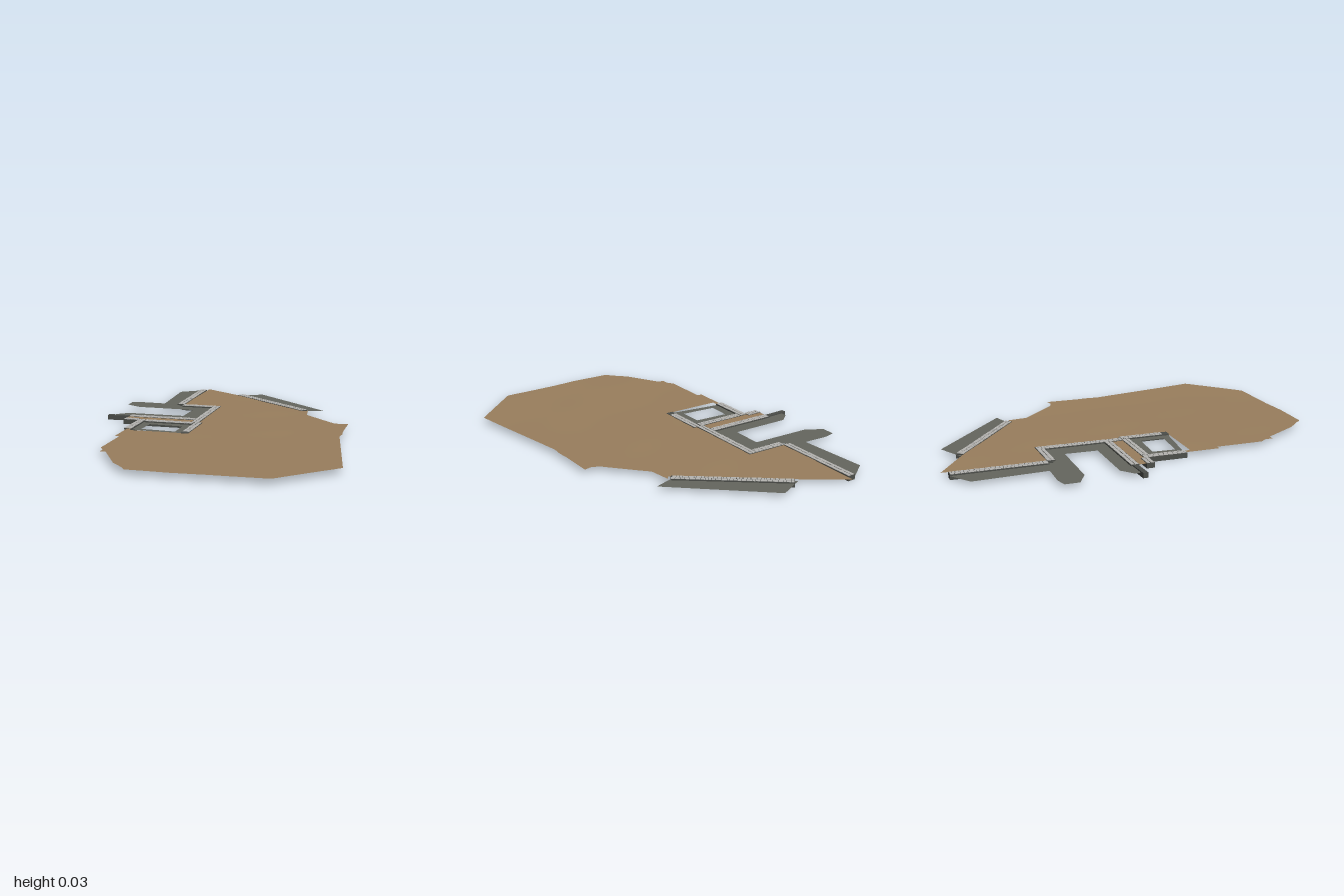
import * as THREE from 'three';
import { mergeGeometries } from 'three/addons/utils/BufferGeometryUtils.js';

const earth = new THREE.MeshStandardMaterial({ color: 0x997e5d, side: THREE.DoubleSide });
earth.name = 'earth brown';
const paving = new THREE.MeshStandardMaterial({ color: 0x65665e, side: THREE.DoubleSide });
paving.name = 'paving grey';
const masonry = new THREE.MeshStandardMaterial({ color: 0x4c4e4a });
masonry.name = 'masonry dark grey';
const capstone = new THREE.MeshStandardMaterial({ color: 0xb6b5b2 });
capstone.name = 'capstone light grey';

let seed = 7;
const rand = () => (seed = (seed * 16807) % 2147483647) / 2147483647;

// Outlines are [x, z] pairs seen from above
const toPoints = (pts) => pts.map(([x, z]) => new THREE.Vector2(x, -z));

function flat(pts, hole) {
  const shape = new THREE.Shape(toPoints(pts));
  if (hole) shape.holes.push(new THREE.Path(toPoints(hole)));
  return new THREE.ShapeGeometry(shape).rotateX(-Math.PI / 2);
}

// Split every triangle into four
function subdivide(geometry) {
  const p = geometry.index ? geometry.toNonIndexed().attributes.position : geometry.attributes.position;
  const out = [];
  const v = (i) => new THREE.Vector3().fromBufferAttribute(p, i);
  for (let i = 0; i < p.count; i += 3) {
    const [a, b, c] = [v(i), v(i + 1), v(i + 2)];
    const mid = (m, n) => m.clone().add(n).multiplyScalar(0.5);
    const [ab, bc, ca] = [mid(a, b), mid(b, c), mid(c, a)];
    for (const q of [a, ab, ca, ab, b, bc, ca, bc, c, ab, bc, ca]) out.push(q.x, q.y, q.z);
  }
  const g = new THREE.BufferGeometry();
  g.setAttribute('position', new THREE.Float32BufferAttribute(out, 3));
  return g;
}

// Gently rising, slightly rippled terrain
function groundHeight(x, z) {
  const rise = 0.004 * THREE.MathUtils.smoothstep(z, 0.3, 1) + 0.003 * THREE.MathUtils.smoothstep(x, 0.35, 0.7);
  return 0.0245 + rise + 0.0007 * Math.sin(x * 9 + z * 4) * Math.cos(z * 8 - x * 3);
}

function makeGround() {
  let g = flat([
    [-0.39, -1], [-0.17, -0.85], [0.32, -0.48], [0.335, -0.5], [0.35, -0.385], [0.53, -0.195],
    [0.57, -0.18], [0.61, -0.19], [0.61, 0], [0.615, 0.055], [0.61, 0.115], [0.72, 0.73],
    [0.45, 0.985], [0.155, 0.99], [0, 1], [-0.22, 0.995], [-0.245, 0.96], [-0.31, 0.895],
    [-0.42, 0.705], [-0.45, 0.705], [-0.45, 0.665], [-0.475, 0.63], [-0.475, 0.38], [-0.5, 0.38],
    [-0.5, 0.2], [-0.475, 0.2], [-0.475, 0.23], [-0.175, 0.23], [-0.175, -0.02], [-0.595, -0.02],
    [-0.595, -0.1], [-0.195, -0.1], [-0.195, -0.465], [-0.4, -0.465],
  ]);
  for (let i = 0; i < 4; i++) g = subdivide(g);
  const p = g.attributes.position;
  const normals = [];
  for (let i = 0; i < p.count; i++) {
    const x = p.getX(i), z = p.getZ(i), e = 0.01;
    p.setY(i, groundHeight(x, z));
    const n = new THREE.Vector3(
      groundHeight(x - e, z) - groundHeight(x + e, z), 2 * e,
      groundHeight(x, z - e) - groundHeight(x, z + e)).normalize();
    normals.push(n.x, n.y, n.z);
  }
  g.setAttribute('normal', new THREE.Float32BufferAttribute(normals, 3));
  const ground = new THREE.Mesh(g, earth);
  ground.name = 'ground';
  return ground;
}

function makePaving(name, pts, hole) {
  const mesh = new THREE.Mesh(flat(pts, hole), paving);
  mesh.position.y = 0.02;
  mesh.name = name;
  return mesh;
}

// Straight retaining wall from a to b, topped with two rows of uneven stones
function makeWall(name, a, b, width = 0.042, capped = true) {
  const wall = new THREE.Group();
  wall.name = name;
  const dx = b[0] - a[0], dz = b[1] - a[1];
  const length = Math.hypot(dx, dz);
  wall.position.set((a[0] + b[0]) / 2, 0, (a[1] + b[1]) / 2);
  wall.rotation.y = -Math.atan2(dz, dx);

  const body = new THREE.Mesh(new THREE.BoxGeometry(length, 0.026, width), masonry);
  body.position.y = 0.013;
  body.name = 'wallBody';
  wall.add(body);
  if (!capped) return wall;

  const stones = [];
  const row = width / 2 - 0.003;
  for (const side of [-1, 1]) {
    let x = -length / 2 + 0.002;
    while (x < length / 2 - 0.008) {
      const l = Math.min(0.012 + 0.018 * rand(), length / 2 - 0.001 - x);
      const w = row * (0.82 + 0.18 * rand());
      const stone = new THREE.BoxGeometry(l - 0.0025, 0.003, w);
      stone.translate(x + l / 2, 0.0262 + 0.0008 * rand(), side * (row / 2 + 0.001));
      stones.push(stone);
      x += l;
    }
  }
  const caps = new THREE.Mesh(mergeGeometries(stones), capstone);
  caps.name = 'capstones';
  wall.add(caps);
  return wall;
}

export function createModel() {
  const model = new THREE.Group();
  model.name = 'terrainWithWalls';
  model.add(makeGround());

  // Flat grey aprons outside the walls
  model.add(makePaving('rightApron', [
    [-0.41, -0.965], [-0.44, -0.965], [-0.545, -0.89], [-0.525, -0.51], [-0.665, -0.515], [-0.725, -0.5],
    [-0.725, -0.425], [-0.635, -0.375], [-0.31, -0.37], [-0.315, -0.2], [-0.635, -0.2],
    [-0.695, -0.15], [-0.695, -0.115], [-0.2, -0.115], [-0.2, -0.46], [-0.42, -0.46],
  ]));
  model.add(makePaving('backApron', [[-0.17, -0.86], [-0.03, -0.93], [0.42, -0.535], [0.33, -0.505], [0.31, -0.5]]));
  model.add(makePaving('roomFloor',
    [[-0.48, 0], [-0.18, 0], [-0.155, 0.235], [-0.48, 0.195]],
    [[-0.425, 0.05], [-0.24, 0.06], [-0.24, 0.185], [-0.43, 0.17]]));

  // Retaining walls
  const walls = [
    ['backRightWall', [-0.417, -0.965], [-0.417, -0.485]],
    ['stepWall', [-0.4, -0.465], [-0.216, -0.465]],
    ['innerWall', [-0.196, -0.486], [-0.196, -0.03]],
    ['passageWall', [-0.595, -0.108], [-0.217, -0.108]],
    ['passageStub', [-0.597, -0.028], [-0.515, -0.028]],
    ['roomBackWall', [-0.472, -0.01], [-0.2, -0.01]],
    ['roomRightWall', [-0.494, -0.03], [-0.494, 0.2]],
    ['roomLeftWall', [-0.176, -0.03], [-0.176, 0.2]],
    ['backLeftWall', [-0.15, -0.86], [0.315, -0.495]],
  ];
  for (const [name, a, b] of walls) model.add(makeWall(name, a, b));

  // Bare wall ends without capstones
  model.add(makeWall('passageWallEnd', [-0.72, -0.103], [-0.595, -0.108], 0.026, false));
  model.add(makeWall('roomLeftWallEnd', [-0.176, 0.2], [-0.176, 0.235], 0.042, false));
  return model;
}
